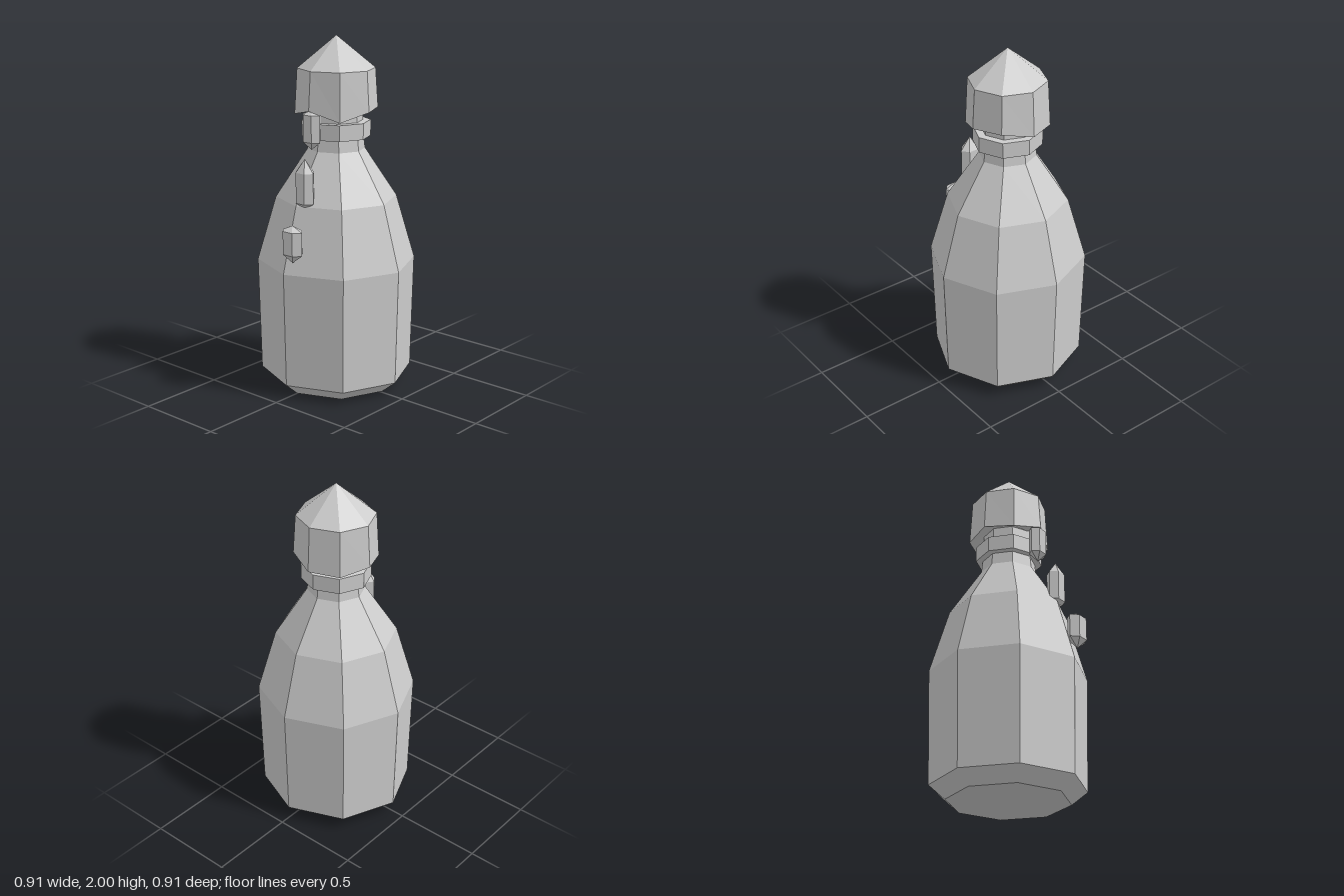
import * as THREE from 'three';

const AXIS_Z = -0.013;   // bottle axis
const DEPTH = 0.977;     // bottle is slightly flattened front to back

// Faceted solid of revolution from [radius, height] pairs, bottom to top
function turned(name, profile, sides, phase, material) {
  const points = profile.map(([r, y]) => new THREE.Vector2(r, y));
  const mesh = new THREE.Mesh(new THREE.LatheGeometry(points, sides, phase), material);
  mesh.name = name;
  return mesh;
}

export function createModel() {
  const grey = new THREE.MeshStandardMaterial({ color: 0xcccccc });
  grey.name = 'light grey';
  grey.flatShading = true;
  const model = new THREE.Group();
  model.name = 'bottle';

  const vessel = new THREE.Group();
  vessel.name = 'vessel';
  vessel.position.z = AXIS_Z;
  vessel.scale.z = DEPTH;
  model.add(vessel);

  // Body with neck
  vessel.add(turned('body', [
    [0, 0], [0.347, 0], [0.438, 0.075], [0.453, 0.73], [0.345, 1.095],
    [0.163, 1.37], [0.155, 1.44], [0.148, 1.62], [0, 1.62],
  ], 8, 0, grey));

  // Collar around the neck
  vessel.add(turned('collar', [
    [0.14, 1.44], [0.195, 1.44], [0.195, 1.53], [0.14, 1.53],
  ], 8, 0, grey));

  // Cap with an uneven lower rim, corners counted from the front towards +x
  const cap = turned('cap', [
    [0, 1.62], [0.14, 1.61], [0.235, 1.58], [0.22, 1.82], [0, 2],
  ], 8, 0, grey);
  const rim = [1.605, 1.55, 1.595, 1.6, 1.565, 1.56, 1.58, 1.565];
  const position = cap.geometry.attributes.position;
  for (let i = 0; i <= 8; i++) position.setY(i * 5 + 2, rim[i % 8]);
  cap.geometry.computeVertexNormals();
  vessel.add(cap);

  // Pointed six-sided crystals down the front:
  // x, z, half width, half depth, then bottom, lower, upper and top heights
  const crystals = [
    [0, 0.193, 0.061, 0.037, 1.39, 1.435, 1.585, 1.61],
    [0.036, 0.29, 0.061, 0.04, 1.08, 1.115, 1.285, 1.36],
    [0.055, 0.413, 0.069, 0.04, 0.805, 0.855, 0.985, 1.015],
  ];
  crystals.forEach(([x, z, w, d, y0, y1, y2, y3], i) => {
    const crystal = turned('crystal' + (i + 1),
      [[0, y0], [w, y1], [w, y2], [0, y3]], 6, Math.PI / 2, grey);
    crystal.position.set(x, 0, z);
    crystal.scale.z = d / (w * Math.sin(Math.PI / 3));
    model.add(crystal);
  });

  return model;
}
